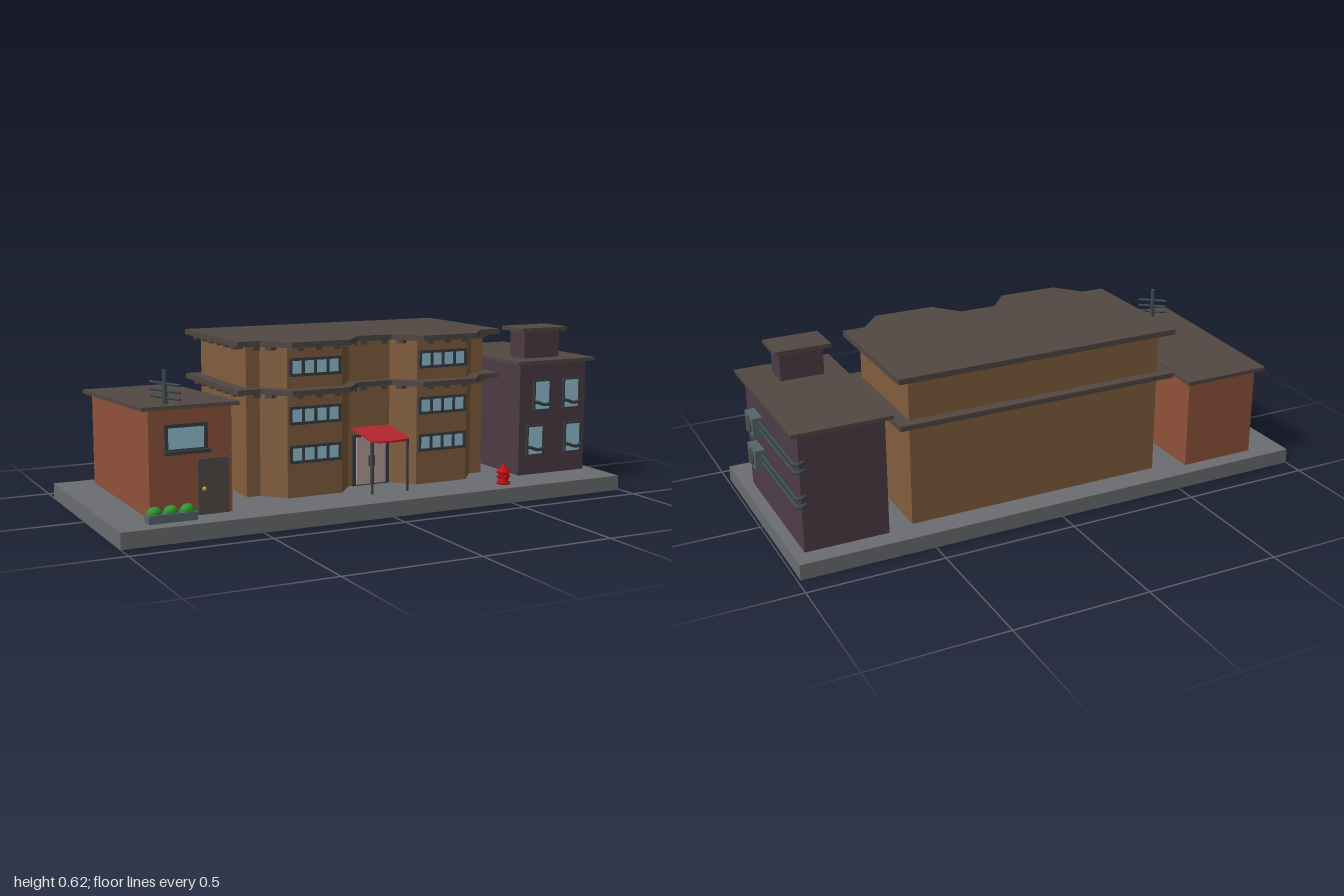
import * as THREE from 'three';

const mat = (color) => new THREE.MeshStandardMaterial({ color });
const M = {
  ground: mat(0x6c6d71), roof: mat(0x524843), tan: mat(0x835f3e), brick: mat(0x91533a),
  plum: mat(0x4e3c46), frame: mat(0x3a3f43), glass: mat(0x96c4d6), door: mat(0x524b48),
  pale: mat(0xb5a09c), red: mat(0xb3262e), hydrant: mat(0xc01015), steel: mat(0x56666a),
  green: mat(0x2f9a33), brass: mat(0xc9a227), pipe: mat(0x3b494f),
};
const GROUND = 0.057;

function add(parent, name, geometry, material) {
  const mesh = new THREE.Mesh(geometry, material);
  mesh.name = name;
  parent.add(mesh);
  return mesh;
}
// Box given by its limits on each axis
function box(parent, name, material, x0, x1, y0, y1, z0, z1) {
  const m = add(parent, name, new THREE.BoxGeometry(x1 - x0, y1 - y0, z1 - z0), material);
  m.position.set((x0 + x1) / 2, (y0 + y1) / 2, (z0 + z1) / 2);
  return m;
}
// Floor plan of [x, z] points raised from y0 to y1
function planSolid(parent, name, material, plan, y0, y1) {
  const shape = new THREE.Shape(plan.map(([x, z]) => new THREE.Vector2(x, -z)));
  const g = new THREE.ExtrudeGeometry(shape, { depth: y1 - y0, bevelEnabled: false });
  g.rotateX(-Math.PI / 2).translate(0, y0, 0);
  return add(parent, name, g, material);
}
// Side profile of [z, y] points drawn out from x0 to x1
function sideSolid(parent, name, material, profile, x0, x1) {
  const shape = new THREE.Shape(profile.map(([z, y]) => new THREE.Vector2(z, y)));
  const g = new THREE.ExtrudeGeometry(shape, { depth: x1 - x0, bevelEnabled: false });
  g.rotateY(-Math.PI / 2).translate(x1, 0, 0);
  return add(parent, name, g, material);
}
// Rod between two points
function rod(parent, name, material, a, b, r, sides = 8) {
  const p = new THREE.Vector3(...a), q = new THREE.Vector3(...b);
  const m = add(parent, name, new THREE.CylinderGeometry(r, r, p.distanceTo(q), sides), material);
  m.position.copy(p).lerp(q, 0.5);
  m.quaternion.setFromUnitVectors(new THREE.Vector3(0, 1, 0), q.sub(p).normalize());
  return m;
}
// Framed window on a wall at z, split into equal panes
function windowRow(parent, name, x0, x1, y0, y1, z, panes, t = 0.01) {
  const g = new THREE.Group();
  g.name = name;
  parent.add(g);
  const step = (x1 - x0 - t) / panes;
  for (let i = 0; i <= panes; i++) box(g, 'windowPost', M.frame, x0 + i * step, x0 + i * step + t, y0, y1, z - 0.005, z + 0.009);
  for (const y of [y0, y1 - t]) box(g, 'windowRail', M.frame, x0, x1, y, y + t, z - 0.005, z + 0.01);
  box(g, 'glass', M.glass, x0 + t / 2, x1 - t / 2, y0 + t / 2, y1 - t / 2, z - 0.005, z + 0.004);
}

// Plan with two angled bays on the front
function bayPlan(half, back, front, bay, flat, outer) {
  const cx = 0.054, off = 0.263;
  const pts = [[-half, back], [-half, front]];
  for (const c of [-off, off]) pts.push([c - outer, front], [c - flat, bay], [c + flat, bay], [c + outer, front]);
  pts.push([half, front], [half, back]);
  return pts.map(([x, z]) => [x + cx, z]);
}

function mainBuilding(root) {
  const g = new THREE.Group();
  g.name = 'mainBuilding';
  root.add(g);
  const walls = bayPlan(0.493, -0.321, 0.125, 0.209, 0.108, 0.178);
  const eaves = bayPlan(0.541, -0.361, 0.168, 0.267, 0.113, 0.193);
  planSolid(g, 'walls', M.tan, walls, GROUND, 0.605);
  for (const [name, y0, y1] of [['ledge', 0.433, 0.452], ['roof', 0.602, 0.622]]) {
    planSolid(g, name, M.roof, eaves, y0, y1);
    // Small brackets under the overhang, on every wall but the back
    for (let i = 0; i < walls.length - 1; i++) {
      const [ax, az] = walls[i], [bx, bz] = walls[i + 1];
      const len = Math.hypot(bx - ax, bz - az), n = Math.max(1, Math.round(len / 0.08));
      const nx = -(bz - az) / len, nz = (bx - ax) / len;
      for (let k = 0; k < n; k++) {
        const t = (k + 0.5) / n;
        const b = add(g, 'bracket', new THREE.BoxGeometry(0.026, 0.014, 0.04), M.roof);
        b.position.set(ax + (bx - ax) * t + nx * 0.018, y0 - 0.006, az + (bz - az) * t + nz * 0.018);
        b.rotation.y = Math.atan2(nx, nz);
      }
    }
  }
  for (const cx of [-0.209, 0.317])
    for (const y of [0.182, 0.322, 0.495]) windowRow(g, 'bayWindow', cx - 0.102, cx + 0.102, y, y + 0.066, 0.209, 4);

  // Double entrance door
  box(g, 'doorFrame', M.frame, -0.02, 0.135, GROUND, 0.25, 0.12, 0.133);
  for (const x of [-0.004, 0.06]) box(g, 'doorLeaf', M.pale, x, x + 0.058, GROUND + 0.005, 0.24, 0.12, 0.138);
  for (const x of [0.046, 0.068]) rod(g, 'doorHandle', M.frame, [x, 0.13, 0.142], [x, 0.17, 0.142], 0.003);

  // Sloping awning with a rounded front edge
  const s = new THREE.Shape();
  s.moveTo(-0.022, -0.125);
  s.lineTo(-0.022, -0.285);
  s.quadraticCurveTo(-0.016, -0.305, 0.056, -0.307);
  s.quadraticCurveTo(0.128, -0.305, 0.134, -0.285);
  s.lineTo(0.134, -0.125);
  const a = new THREE.ExtrudeGeometry(s, { depth: 0.007, bevelEnabled: false });
  a.rotateX(-Math.PI / 2);
  const p = a.attributes.position;
  for (let i = 0; i < p.count; i++) p.setY(i, p.getY(i) + 0.271 - (p.getZ(i) - 0.125) * 0.14);
  a.computeVertexNormals();
  add(g, 'awning', a, M.red);
  for (const x of [-0.016, 0.128]) rod(g, 'awningPost', M.frame, [x, GROUND, 0.285], [x, 0.25, 0.285], 0.005);
}

function brickHouse(root) {
  const g = new THREE.Group();
  g.name = 'brickHouse';
  root.add(g);
  sideSolid(g, 'walls', M.brick, [[-0.357, GROUND], [0.297, GROUND], [0.297, 0.428], [-0.357, 0.4]], -0.86, -0.565);
  sideSolid(g, 'slopingRoof', M.roof, [[-0.384, 0.397], [0.32, 0.427], [0.319, 0.44], [-0.384, 0.411]], -0.888, -0.543);
  windowRow(g, 'frontWindow', -0.806, -0.654, 0.278, 0.375, 0.297, 1, 0.012);
  box(g, 'windowSill', M.frame, -0.81, -0.65, 0.274, 0.286, 0.295, 0.322);
  box(g, 'frontDoor', M.door, -0.69, -0.578, GROUND, 0.25, 0.29, 0.304);
  add(g, 'doorKnob', new THREE.SphereGeometry(0.008, 10, 8), M.brass).position.set(-0.67, 0.147, 0.309);

  // Aerial with three slanting crossbars
  rod(g, 'aerialPole', M.pipe, [-0.781, 0.42, 0.245], [-0.781, 0.552, 0.245], 0.008, 10);
  for (const y of [0.458, 0.481, 0.505])
    rod(g, 'aerialBar', M.pipe, [-0.818, y + 0.004, 0.2], [-0.744, y - 0.004, 0.29], 0.005);

  // Planter with three shrubs
  const planter = planSolid(g, 'planter', M.steel, [[-0.885, 0.312], [-0.885, 0.362], [-0.715, 0.362], [-0.715, 0.312]], GROUND, 0.086);
  planter.name = 'planterBox';
  for (const x of [-0.858, -0.8, -0.742]) {
    const b = add(g, 'shrub', new THREE.IcosahedronGeometry(0.026, 1), M.green);
    b.position.set(x, 0.089, 0.337);
    b.scale.set(1, 0.85, 0.85);
  }
}

function plumBuilding(root) {
  const g = new THREE.Group();
  g.name = 'plumBuilding';
  root.add(g);
  box(g, 'walls', M.plum, 0.642, 0.947, GROUND, 0.492, -0.344, 0.247);
  box(g, 'roof', M.roof, 0.62, 0.976, 0.49, 0.503, -0.37, 0.27);
  box(g, 'roofHut', M.plum, 0.7, 0.861, 0.5, 0.61, 0.088, 0.187);
  box(g, 'roofHutCap', M.roof, 0.676, 0.882, 0.607, 0.622, 0.065, 0.21);

  // Windows, each with a wavy bar across the lower part
  for (const [x, y] of [[0.702, 0.305], [0.839, 0.305], [0.674, 0.13], [0.85, 0.13]]) {
    windowRow(g, 'window', x, x + 0.08, y, y + 0.122, 0.247, 1, 0.007);
    const pts = [0, 1, 2, 3, 4].map((i) => new THREE.Vector3(x + i * 0.02, y + [0.036, 0.034, 0.026, 0.023, 0.03][i], 0.253));
    add(g, 'wavyBar', new THREE.TubeGeometry(new THREE.CatmullRomCurve3(pts), 12, 0.007, 6), M.frame);
  }

  // Two wall units with round fans and pipes running to the back
  for (const y of [0.372, 0.247]) {
    const unit = new THREE.Group();
    unit.name = 'coolingUnit';
    unit.position.set(0.947, y, 0.07);
    g.add(unit);
    const body = box(unit, 'unitBody', M.steel, 0.008, 0.044, -0.037, 0.037, -0.047, 0.047);
    const p = body.geometry.attributes.position;
    for (let i = 0; i < p.count; i++) if (p.getY(i) < 0) p.setZ(i, p.getZ(i) * 0.92);
    const ring = add(unit, 'fanRing', new THREE.TorusGeometry(0.028, 0.003, 6, 12), M.pipe);
    ring.rotation.y = Math.PI / 2;
    ring.position.x = 0.045;
    rod(unit, 'fan', M.door, [0.03, 0, 0], [0.048, 0, 0], 0.027, 12);
    for (const z of [-0.03, 0.03]) box(unit, 'bracket', M.steel, 0, 0.036, -0.045, -0.036, z - 0.006, z + 0.006);
    for (const dy of [0.016, -0.014]) {
      const path = new THREE.CurvePath();
      const v = (x, z) => new THREE.Vector3(x, y + dy, z);
      path.add(new THREE.LineCurve3(v(0.963, 0.04), v(0.963, -0.338)));
      path.add(new THREE.QuadraticBezierCurve3(v(0.963, -0.338), v(0.963, -0.354), v(0.947, -0.354)));
      path.add(new THREE.LineCurve3(v(0.947, -0.354), v(0.93, -0.342)));
      add(g, 'pipe', new THREE.TubeGeometry(path, 48, 0.0075, 8), M.pipe);
    }
  }
}

function fireHydrant(root) {
  const g = new THREE.Group();
  g.name = 'fireHydrant';
  g.position.set(0.511, GROUND, 0.341);
  root.add(g);
  const profile = [[0, 0], [0.026, 0], [0.026, 0.007], [0.018, 0.008], [0.018, 0.04], [0.026, 0.042], [0.026, 0.047],
    [0.021, 0.049], [0.018, 0.058], [0.01, 0.065], [0.005, 0.067], [0.005, 0.074], [0, 0.074]];
  add(g, 'hydrantBody', new THREE.LatheGeometry(profile.map(([r, y]) => new THREE.Vector2(r, y)), 16), M.hydrant);
  rod(g, 'sideOutlets', M.hydrant, [-0.026, 0.028, 0], [0.026, 0.028, 0], 0.007, 10);
  rod(g, 'frontOutlet', M.hydrant, [0, 0.028, 0], [0, 0.028, 0.026], 0.009, 10);
}

export function createModel() {
  const root = new THREE.Group();
  root.name = 'streetBlock';
  box(root, 'pavement', M.ground, -1, 0.99, 0, GROUND, -0.418, 0.418);
  mainBuilding(root);
  brickHouse(root);
  plumBuilding(root);
  fireHydrant(root);
  return root;
}
